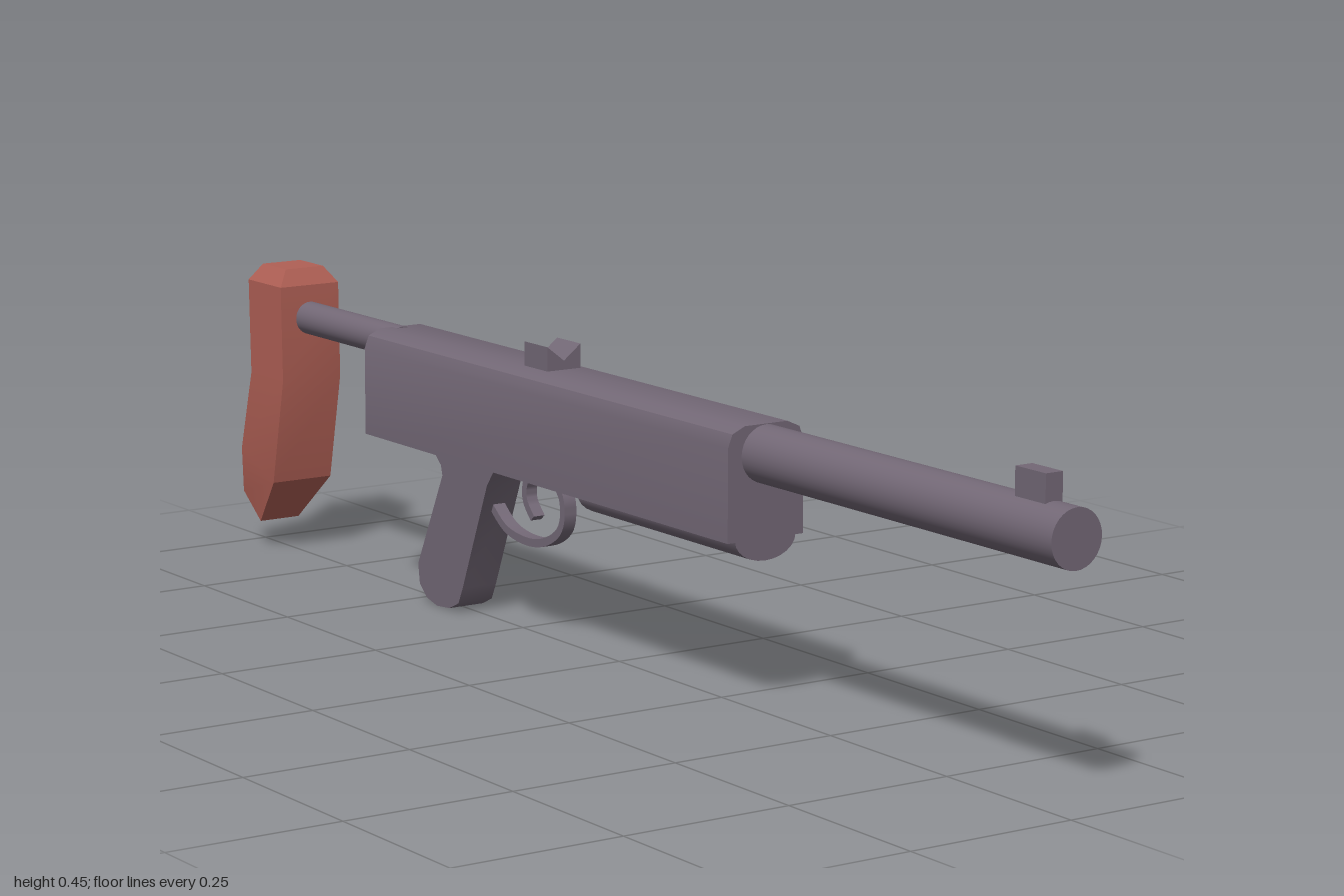
import * as THREE from 'three';
import { toCreasedNormals } from 'three/addons/utils/BufferGeometryUtils.js';

const metal = new THREE.MeshStandardMaterial({ color: 0x736876 });
metal.name = 'grey metal';
const wood = new THREE.MeshStandardMaterial({ color: 0xb06055 });
wood.name = 'red wood';

const shapeOf = (pts) => new THREE.Shape(pts.map(([a, b]) => new THREE.Vector2(a, b)));

// Front profile (x, y) stretched from z0 to z1
function alongZ(pts, z0, z1) {
  const g = new THREE.ExtrudeGeometry(shapeOf(pts), { depth: z1 - z0, bevelEnabled: false });
  return toCreasedNormals(g.translate(0, 0, z0), 0.7);
}

// Side profile (z, y) given a width across x
function acrossX(pts, width) {
  const g = new THREE.ExtrudeGeometry(shapeOf(pts), { depth: width, bevelEnabled: false });
  return toCreasedNormals(g.translate(0, 0, -width / 2).rotateY(-Math.PI / 2), 0.7);
}

// Flat band of even thickness following a curve in the side plane
function band(pts, thickness, width, steps) {
  const curve = new THREE.SplineCurve(pts.map(([z, y]) => new THREE.Vector2(z, y)));
  const outer = [], inner = [];
  for (let i = 0; i <= steps; i++) {
    const p = curve.getPoint(i / steps), t = curve.getTangent(i / steps);
    const nx = (-t.y * thickness) / 2, ny = (t.x * thickness) / 2;
    outer.push([p.x + nx, p.y + ny]);
    inner.unshift([p.x - nx, p.y - ny]);
  }
  return acrossX([...outer, ...inner], width);
}

function rod(radius, y, z0, z1) {
  return new THREE.CylinderGeometry(radius, radius, z1 - z0, 32)
    .rotateX(Math.PI / 2).translate(0, y, (z0 + z1) / 2);
}

// Four-cornered rings, top to bottom: [front z, front y, back z, back y, half width]
function loft(rings) {
  const pos = [], index = [];
  for (const [fz, fy, bz, by, w] of rings) pos.push(w, fy, fz, w, by, bz, -w, by, bz, -w, fy, fz);
  for (let r = 0; r < rings.length - 1; r++) {
    for (let i = 0; i < 4; i++) {
      const a = r * 4 + i, b = r * 4 + ((i + 1) % 4);
      index.push(a, b, a + 4, b, b + 4, a + 4);
    }
  }
  const e = (rings.length - 1) * 4;
  index.push(0, 2, 1, 0, 3, 2, e, e + 1, e + 2, e, e + 2, e + 3);
  // Sides face outward once the winding is reversed
  for (let i = 0; i < index.length - 12; i += 3) [index[i + 1], index[i + 2]] = [index[i + 2], index[i + 1]];
  for (let i = index.length - 12; i < index.length; i += 3) [index[i + 1], index[i + 2]] = [index[i + 2], index[i + 1]];
  return { pos, index };
}

function loftGeometry(rings) {
  const { pos, index } = loft(rings);
  const g = new THREE.BufferGeometry();
  g.setAttribute('position', new THREE.Float32BufferAttribute(pos, 3));
  // Orient each triangle away from the middle of its nearest section
  const v = (i) => new THREE.Vector3(pos[i * 3], pos[i * 3 + 1], pos[i * 3 + 2]);
  for (let i = 0; i < index.length; i += 3) {
    const [a, b, c] = [0, 1, 2].map((k) => v(index[i + k]));
    const r0 = Math.floor(Math.min(index[i], index[i + 1], index[i + 2]) / 4);
    const s = Math.min(r0, rings.length - 2);
    const mid = new THREE.Vector3();
    for (let k = 0; k < 8; k++) mid.addScaledVector(v(s * 4 + k), 1 / 8);
    const n = b.clone().sub(a).cross(c.clone().sub(a));
    if (n.dot(a.clone().add(b).add(c).divideScalar(3).sub(mid)) < 0) {
      [index[i + 1], index[i + 2]] = [index[i + 2], index[i + 1]];
    }
  }
  g.setIndex(index);
  return toCreasedNormals(g, 0.5);
}

export function createModel() {
  const group = new THREE.Group();
  const add = (name, geometry, material, x = 0) => {
    const mesh = new THREE.Mesh(geometry, material);
    mesh.name = name;
    mesh.position.x = x;
    group.add(mesh);
  };

  // Barrel and front sight
  add('barrel', rod(0.04, 0.356, 0.3, 1), metal);
  add('frontSight', new THREE.BoxGeometry(0.027, 0.05, 0.06).translate(0, 0.407, 0.925), metal);

  // Body with rounded upper edges
  const half = [[0.062, 0.24], [0.062, 0.37], [0.055, 0.388], [0.035, 0.397]];
  const mirror = half.map(([x, y]) => [-x, y]).reverse();
  add('receiver', alongZ([...half, ...mirror], -0.585, 0.35), metal);

  // Rounded tube under the front of the body
  const belly = [];
  for (let i = 0; i <= 12; i++) {
    const a = Math.PI * (1 + i / 12);
    belly.push([0.05 * Math.cos(a), 0.242 + 0.032 * Math.sin(a)]);
  }
  add('foreGrip', alongZ(belly, -0.03, 0.35), metal);

  // Notched rear sight
  add('rearSight', alongZ([[-0.028, 0.39], [0.028, 0.39], [0.028, 0.432], [0, 0.41], [-0.028, 0.432]], -0.2, -0.14), metal);

  // Pistol grip
  add('grip', acrossX([
    [-0.27, 0.245], [-0.3, 0.205], [-0.368, 0.04], [-0.38, 0.015], [-0.405, 0.003], [-0.44, 0],
    [-0.468, 0.007], [-0.488, 0.025], [-0.492, 0.055], [-0.422, 0.2], [-0.426, 0.215], [-0.46, 0.245],
  ], 0.058), metal);

  // Trigger and its guard
  add('triggerGuard', band([[-0.165, 0.245], [-0.133, 0.212], [-0.135, 0.17], [-0.17, 0.144],
    [-0.22, 0.134], [-0.28, 0.143], [-0.325, 0.175]], 0.012, 0.02, 32), metal);
  add('trigger', band([[-0.195, 0.245], [-0.226, 0.224], [-0.23, 0.195], [-0.21, 0.17]], 0.012, 0.018, 14), metal);

  // Stock rod and shoulder stock
  add('stockRod', rod(0.025, 0.374, -0.87, -0.57), metal, -0.004);
  add('shoulderStock', loftGeometry([
    [-0.86, 0.45, -0.93, 0.45, 0.033],
    [-0.845, 0.425, -0.944, 0.425, 0.051],
    [-0.842, 0.28, -0.94, 0.28, 0.051],
    [-0.876, 0.115, -0.974, 0.155, 0.051],
    [-0.948, 0.04, -1, 0.08, 0.034],
  ]), wood, -0.004);

  return group;
}
